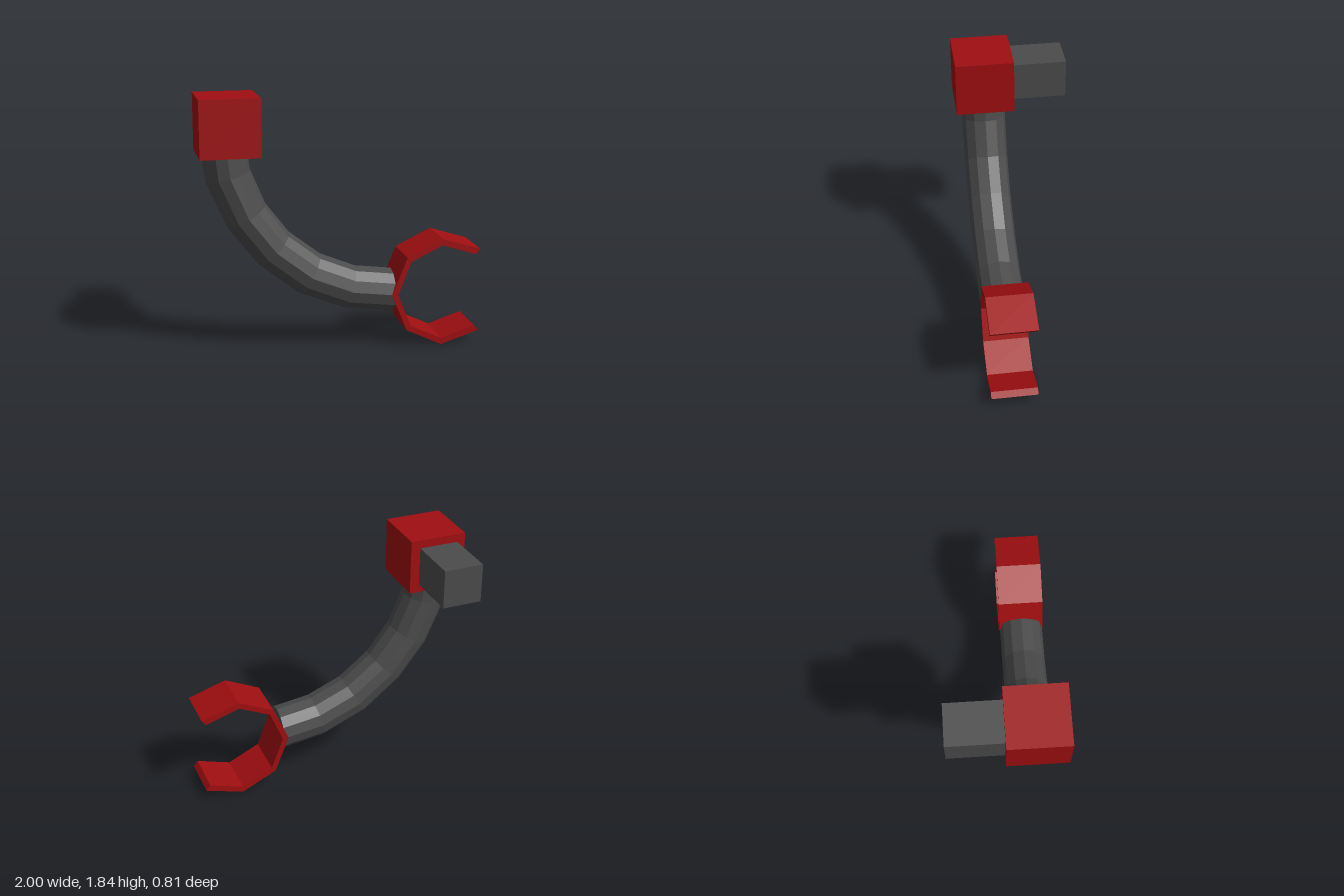
import * as THREE from 'three';

const MID_Z = 0.19;
const red = new THREE.MeshStandardMaterial({ color: 0xa00e11, flatShading: true });
const grey = new THREE.MeshStandardMaterial({ color: 0x4b4b4b, flatShading: true });

// Box given by its min and max corners
function box(name, min, max, material) {
  const size = max.map((v, i) => v - min[i]);
  const mesh = new THREE.Mesh(new THREE.BoxGeometry(...size), material);
  mesh.position.set(...max.map((v, i) => (v + min[i]) / 2));
  mesh.name = name;
  return mesh;
}

// Bent tube: each section is [outer x, outer y, inner x, inner y]
function bentTube(sections, radius, sides) {
  const positions = [];
  const index = [];
  for (const [ox, oy, ix, iy] of sections) {
    for (let j = 0; j < sides; j++) {
      const a = (j / sides) * Math.PI * 2;
      const c = Math.cos(a);
      positions.push(
        (ox + ix) / 2 + ((ox - ix) / 2) * c,
        (oy + iy) / 2 + ((oy - iy) / 2) * c,
        MID_Z - radius * Math.sin(a));
    }
  }
  for (let i = 0; i < sections.length - 1; i++) {
    for (let j = 0; j < sides; j++) {
      const a = i * sides + j;
      const b = i * sides + (j + 1) % sides;
      index.push(a, b, b + sides, a, b + sides, a + sides);
    }
  }
  // End caps as fans
  const last = (sections.length - 1) * sides;
  for (let j = 1; j < sides - 1; j++) {
    index.push(0, j + 1, j);
    index.push(last, last + j, last + j + 1);
  }
  const geometry = new THREE.BufferGeometry();
  geometry.setAttribute('position', new THREE.Float32BufferAttribute(positions, 3));
  geometry.setIndex(index);
  const flat = geometry.toNonIndexed();
  flat.computeVertexNormals();
  return flat;
}

export function createModel() {
  const model = new THREE.Group();
  model.name = 'clawArm';

  // Shoulder block and the peg behind it
  model.add(box('shoulderBlock', [-1, 1.44, -0.02], [-0.58, 1.845, 0.405], red));
  model.add(box('shoulderPeg', [-0.94, 1.5, -0.41], [-0.65, 1.785, -0.02], grey));

  // Curved arm
  const arm = new THREE.Mesh(bentTube([
    [-0.985, 1.6, -0.67, 1.6],
    [-0.945, 1.25, -0.635, 1.33],
    [-0.8, 0.92, -0.53, 1.08],
    [-0.585, 0.64, -0.365, 0.865],
    [-0.3, 0.415, -0.145, 0.695],
    [0.03, 0.28, 0.11, 0.59],
    [0.38, 0.235, 0.38, 0.555],
  ], 0.163, 12), grey);
  arm.name = 'arm';
  model.add(arm);

  // Open claw: upper half outline, mirrored about its middle height
  const midY = 0.398;
  const outer = [[0.46, 0.27], [0.72, 0.395], [1, 0.307]];
  const inner = [[0.968, 0.268], [0.72, 0.348], [0.488, 0.237]];
  const upper = [[0.35, 0], ...outer, ...inner, [0.395, 0]];
  const lower = [...inner].reverse().concat([...outer].reverse()).map(([x, y]) => [x, -y]);
  const outline = [...upper, ...lower].map(([x, y]) => new THREE.Vector2(x, y + midY));
  const claw = new THREE.Mesh(
    new THREE.ExtrudeGeometry(new THREE.Shape(outline), { depth: 0.333, bevelEnabled: false }), red);
  claw.position.z = 0.023;
  claw.name = 'claw';
  model.add(claw);

  return model;
}
